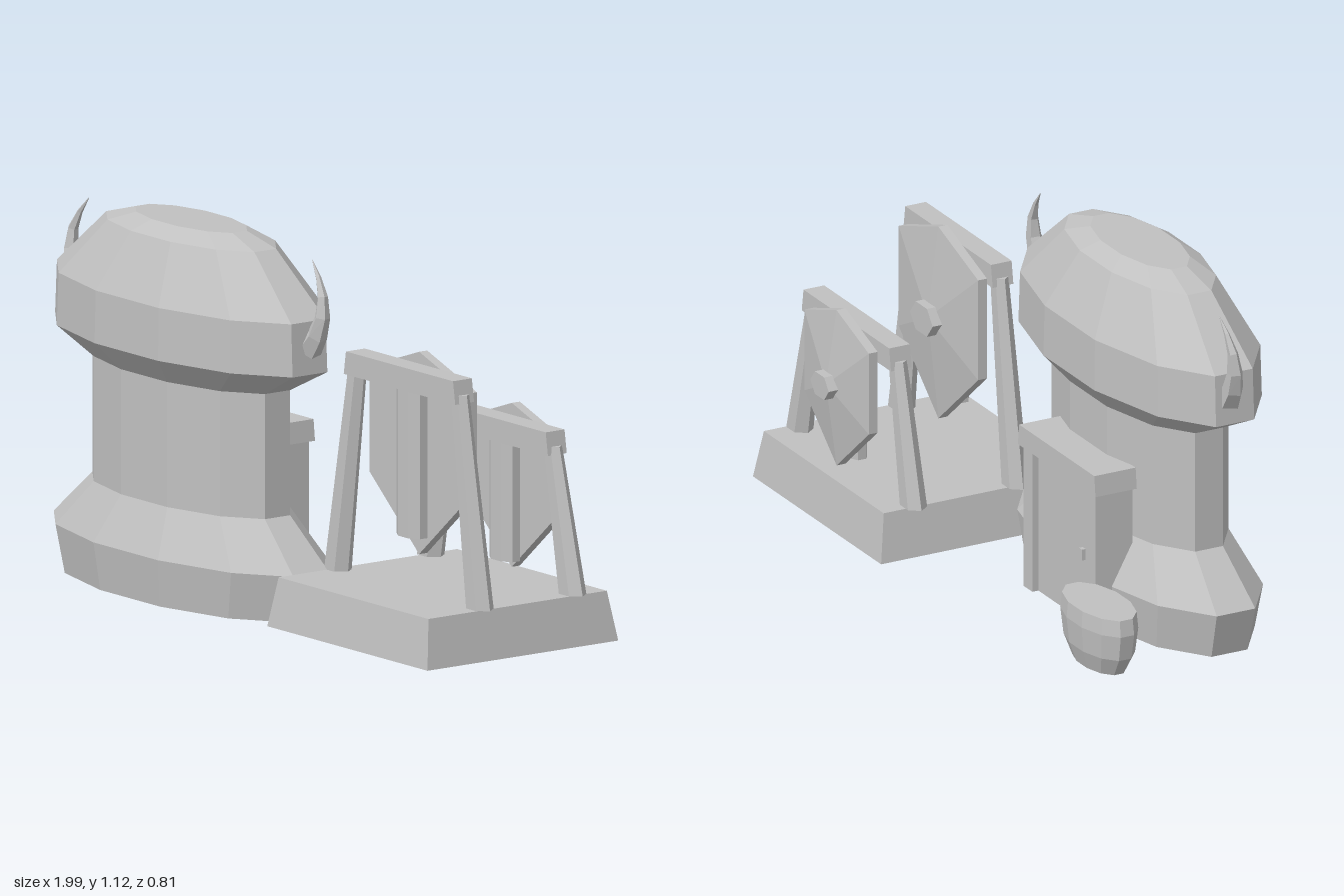
import * as THREE from 'three';

const stone = new THREE.MeshStandardMaterial({ color: 0xc0c0c0, side: THREE.DoubleSide });
stone.name = 'grey stone';

// Faceted mesh helper
function part(name, geometry, x = 0, y = 0, z = 0) {
  const g = geometry.index ? geometry.toNonIndexed() : geometry;
  g.computeVertexNormals();
  const mesh = new THREE.Mesh(g, stone);
  mesh.name = name;
  mesh.position.set(x, y, z);
  return mesh;
}

const box = (name, w, h, d, x, y, z) => part(name, new THREE.BoxGeometry(w, h, d), x, y, z);

// Faceted solid of revolution, squashed to an ellipse
function oval(name, profile, sides, sx, sz, x, z) {
  const pts = profile.map(([r, y]) => new THREE.Vector2(r, y));
  const g = new THREE.LatheGeometry(pts, sides, Math.PI / sides);
  g.scale(sx, 1, sz);
  return part(name, g, x, 0, z);
}

// Curved horn: a tapering four-sided tube
function horn(side) {
  const cx = -0.355;
  const path = new THREE.CatmullRomCurve3([
    [0.565, 0.82, 0.155], [0.615, 0.9, 0.148], [0.612, 1.0, 0.14], [0.55, 1.09, 0.13],
  ].map(([x, y, z]) => new THREE.Vector3(cx + side * x, y, z)));
  const rings = 5;
  const g = new THREE.TubeGeometry(path, rings, 0.04, 5, false);
  const p = g.attributes.position, v = new THREE.Vector3();
  for (let i = 0; i < p.count; i++) {
    const t = Math.floor(i / 6) / rings;
    const c = path.getPointAt(t);
    v.fromBufferAttribute(p, i).sub(c).multiplyScalar(1 - t * 0.98).add(c);
    p.setXYZ(i, v.x, v.y, v.z);
  }
  return part(side > 0 ? 'leftHorn' : 'rightHorn', g);
}

// Six-cornered shield with a raised back and a hexagonal boss
function shield(s) {
  const group = new THREE.Group();
  group.name = 'shield';
  const outline = [[0, 0.285], [-0.245, 0.2], [-0.245, -0.12], [0, -0.33], [0.245, -0.12], [0.245, 0.2]]
    .map(([x, y]) => new THREE.Vector2(x * s, y * s));
  const slab = new THREE.ExtrudeGeometry(new THREE.Shape(outline), { depth: 0.03, bevelEnabled: false });
  group.add(part('shieldPlate', slab));
  const pos = [];
  outline.forEach((a, i) => {
    const b = outline[(i + 1) % outline.length];
    pos.push(b.x, b.y, 0, a.x, a.y, 0, 0, 0, -0.036);
  });
  const back = new THREE.BufferGeometry();
  back.setAttribute('position', new THREE.Float32BufferAttribute(pos, 3));
  group.add(part('shieldBack', back));
  const boss = new THREE.CylinderGeometry(0.07 * s, 0.07 * s, 0.04, 6);
  boss.rotateY(Math.PI / 6).rotateX(Math.PI / 2).scale(1, 0.74, 1);
  group.add(part('shieldBoss', boss, 0, 0, -0.038));
  return group;
}

// Splayed hexagonal leg between two points
function leg(side, top) {
  const h = top - 0.15;
  const g = new THREE.CylinderGeometry(0.034, 0.05, h, 6);
  g.rotateY(Math.PI / 6).scale(1, 1, 0.75);
  const p = g.attributes.position;
  for (let i = 0; i < p.count; i++) {
    const t = p.getY(i) / h + 0.5;
    p.setX(i, p.getX(i) + side * (0.35 - 0.098 * t));
  }
  return part(side > 0 ? 'leftLeg' : 'rightLeg', g, 0, 0.15 + h / 2, 0);
}

// Stand carrying one shield
function stand(name, z, top, s) {
  const group = new THREE.Group();
  group.name = name;
  group.position.set(0.592, 0, z);
  for (const side of [-1, 1]) group.add(leg(side, top - 0.045));
  const beam = new THREE.BoxGeometry(0.55, 0.07, 0.07);
  const p = beam.attributes.position;
  for (let i = 0; i < p.count; i++) if (p.getY(i) > 0) p.setX(i, p.getX(i) * 0.96);
  group.add(part('beam', beam, 0, top - 0.035, 0));

  const sh = shield(s);
  sh.position.set(0, top + 0.035 - 0.285 * s, -0.068);
  group.add(sh);

  const h = 0.45 * s;
  const post = new THREE.CylinderGeometry(0.062, 0.062, h, 8);
  post.rotateY(Math.PI / 8).scale(1, 1, 0.6);
  group.add(part('shieldPost', post, 0, top - 0.07 - h / 2, -0.012));
  return group;
}

export function createModel() {
  const model = new THREE.Group();
  model.name = 'horned tower with shield stands';

  // Oval tower with flared base and domed head
  model.add(oval('tower', [
    [0, 0], [0.57, 0], [0.612, 0.145], [0.44, 0.29], [0.44, 0.67], [0.606, 0.75],
    [0.598, 0.91], [0.378, 1.09], [0.248, 1.125], [0, 1.125],
  ], 12, 1, 0.413, -0.355, 0.165));
  model.add(horn(1), horn(-1));

  // Doorway at the back
  const door = new THREE.Group();
  door.name = 'doorway';
  door.position.x = -0.368;
  for (const side of [-1, 1]) {
    door.add(box('doorPost', 0.055, 0.46, 0.125, side * 0.195, 0.23, -0.053));
  }
  const lintel = new THREE.BoxGeometry(0.478, 0.065, 0.14);
  const lp = lintel.attributes.position;
  for (let i = 0; i < lp.count; i++) if (lp.getY(i) > 0) lp.setX(i, lp.getX(i) * 0.97);
  door.add(part('lintel', lintel, 0, 0.483, -0.055));
  door.add(box('doorPanel', 0.34, 0.45, 0.1, 0, 0.225, -0.045));
  door.add(box('doorHandle', 0.018, 0.035, 0.015, -0.115, 0.22, -0.1));
  model.add(door);

  // Oval tub beside the door
  model.add(oval('tub', [
    [0, 0], [0.125, 0], [0.165, 0.06], [0.18, 0.14], [0.172, 0.19], [0, 0.19],
  ], 12, 1, 0.49, -0.772, -0.203));

  // Hollow plinth with sloping sides, open underneath
  const r = Math.SQRT2;
  model.add(oval('plinth', [[r, 0], [r * 0.935, 0.15], [0, 0.15]], 4, 0.395, 0.355, 0.6, -0.05));

  model.add(stand('frontStand', 0.07, 0.83, 1));
  model.add(stand('backStand', -0.275, 0.63, 0.81));
  return model;
}
